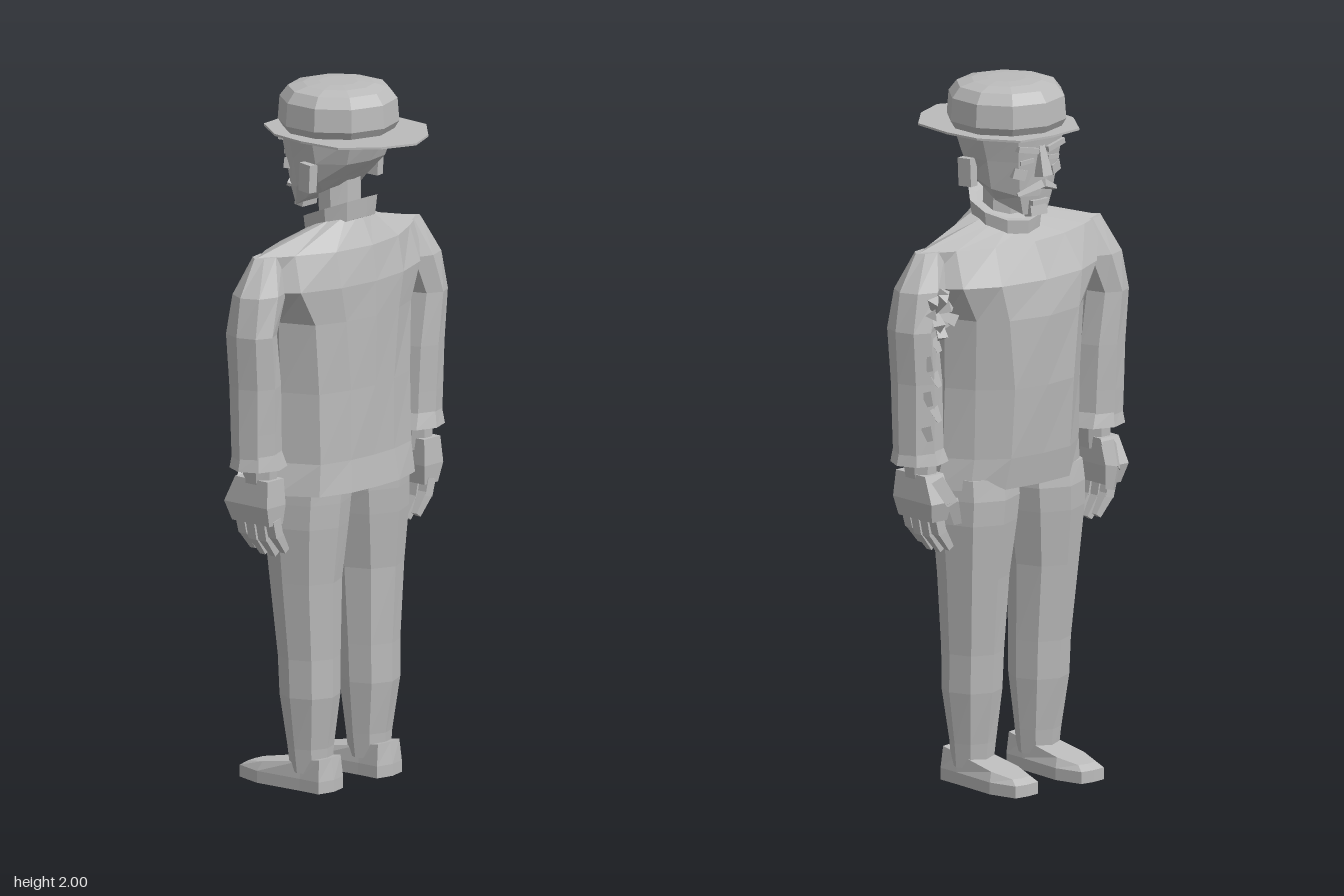
import * as THREE from 'three';

const cloth = new THREE.MeshStandardMaterial({ color: 0xbbbbbb, flatShading: true });
cloth.name = 'plain grey';

// Elliptical ring, listed anticlockwise as seen from above; slope tilts it along z
function oval(n, y, cx, cz, rx, rz, slope = 0, phase = 0.5) {
  return Array.from({ length: n }, (_, i) => {
    const a = ((i + phase) / n) * Math.PI * 2;
    const z = -Math.sin(a) * rz;
    return [cx + Math.cos(a) * rx, y + slope * z, cz + z];
  });
}

// Symmetric ring from the points of one half, listed from face side to back
function half(y, pts, dx = 0, slope = 0) {
  const at = (s) => ([x, z]) => [dx + s * x, y + slope * z, z];
  return [...pts.slice(1, -1).map(at(-1)), ...[...pts].reverse().map(at(1))];
}

// Closed skin through rings ordered from bottom to top
function loft(rings) {
  const n = rings[0].length, pos = rings.flat(2), idx = [];
  for (let r = 0; r < rings.length - 1; r++) {
    for (let i = 0; i < n; i++) {
      const j = (i + 1) % n, a = r * n + i, b = r * n + j;
      idx.push(a, b, b + n, a, b + n, a + n);
    }
  }
  [rings[0], rings[rings.length - 1]].forEach((ring, k) => {
    const c = pos.length / 3, base = k * (rings.length - 1) * n;
    for (let d = 0; d < 3; d++) pos.push(ring.reduce((t, p) => t + p[d], 0) / n);
    for (let i = 0; i < n; i++) {
      const a = base + i, b = base + ((i + 1) % n);
      if (k) idx.push(c, a, b); else idx.push(c, b, a);
    }
  });
  const g = new THREE.BufferGeometry();
  g.setAttribute('position', new THREE.Float32BufferAttribute(pos, 3));
  g.setIndex(idx);
  const flat = g.toNonIndexed();
  flat.computeVertexNormals();
  return flat;
}

export function createModel() {
  const model = new THREE.Group();
  model.name = 'standingMan';

  function add(name, geometry, parent = model) {
    const m = new THREE.Mesh(geometry, cloth);
    m.name = name;
    parent.add(m);
    return m;
  }
  function box(name, size, p, rot = [0, 0, 0], parent = model) {
    const m = add(name, new THREE.BoxGeometry(...size), parent);
    m.position.set(...p);
    m.rotation.set(...rot);
    return m;
  }
  // Tapered four- or more-sided bar between two points
  function bar(name, a, b, r0, r1, parent, sides = 4) {
    const A = new THREE.Vector3(...a), B = new THREE.Vector3(...b), d = B.clone().sub(A);
    const g = new THREE.CylinderGeometry(r1, r0, d.length(), sides);
    g.rotateY(Math.PI / 4);
    const m = add(name, g, parent);
    m.position.copy(A).add(B).multiplyScalar(0.5);
    m.quaternion.setFromUnitVectors(new THREE.Vector3(0, 1, 0), d.normalize());
    return m;
  }

  // Jacket body with sloping shoulders
  add('jacket', loft([
    half(0.86, [[0, -0.17], [0.12, -0.16], [0.205, -0.11], [0.265, -0.03], [0.2, 0.075], [0.1, 0.105], [0, 0.11]]),
    half(0.95, [[0, -0.185], [0.11, -0.175], [0.195, -0.115], [0.245, -0.04], [0.19, 0.07], [0.09, 0.095], [0, 0.1]]),
    half(1.15, [[0, -0.205], [0.11, -0.19], [0.195, -0.12], [0.238, -0.04], [0.19, 0.065], [0.09, 0.095], [0, 0.105]]),
    half(1.35, [[0, -0.215], [0.13, -0.19], [0.2, -0.13], [0.24, -0.04], [0.2, 0.06], [0.11, 0.095], [0, 0.11]]),
    half(1.45, [[0, -0.2], [0.15, -0.18], [0.25, -0.13], [0.33, -0.04], [0.25, 0.05], [0.13, 0.095], [0, 0.11]]),
    half(1.55, [[0, -0.15], [0.13, -0.13], [0.24, -0.09], [0.34, -0.04], [0.24, 0.02], [0.13, 0.075], [0, 0.095]]),
    half(1.62, [[0, -0.1], [0.05, -0.09], [0.085, -0.06], [0.1, -0.03], [0.085, 0.01], [0.05, 0.04], [0, 0.05]], 0, 0.4),
  ]));

  // Tilted collar and neck
  add('collar', loft([
    oval(10, 1.59, 0, -0.025, 0.1, 0.095, 0.4),
    oval(10, 1.645, 0, -0.025, 0.108, 0.1, 0.4),
    oval(10, 1.64, 0, -0.025, 0.085, 0.08, 0.4),
  ]));
  add('neck', loft([oval(8, 1.6, 0, -0.025, 0.07, 0.055), oval(8, 1.76, 0, -0.03, 0.07, 0.06)]));

  // Head, jaw rising toward the back
  const head = new THREE.Group();
  head.name = 'head';
  model.add(head);
  add('skull', loft([
    half(1.71, [[0, -0.16], [0.045, -0.15], [0.085, -0.08], [0.08, -0.02], [0.045, 0.01], [0, 0.015]], 0, 0.5),
    half(1.735, [[0, -0.168], [0.06, -0.155], [0.11, -0.09], [0.11, -0.01], [0.06, 0.035], [0, 0.045]], 0, 0.3),
    half(1.79, [[0, -0.175], [0.075, -0.165], [0.125, -0.09], [0.133, 0], [0.08, 0.07], [0, 0.085]]),
    half(1.865, [[0, -0.185], [0.085, -0.175], [0.145, -0.09], [0.15, 0], [0.09, 0.095], [0, 0.115]]),
  ]), head);
  bar('nose', [0, 1.83, -0.17], [0, 1.745, -0.187], 0.014, 0.026, head);
  box('lowerLip', [0.06, 0.014, 0.02], [0, 1.668, -0.165], [0, 0, 0], head);
  box('chin', [0.06, 0.035, 0.03], [0, 1.645, -0.152], [0.15, 0, 0], head);
  for (const s of [-1, 1]) {
    box('brow', [0.07, 0.016, 0.025], [s * 0.05, 1.825, -0.172], [0, s * -0.12, s * 0.2], head);
    box('eyelid', [0.045, 0.012, 0.016], [s * 0.048, 1.79, -0.167], [0, s * -0.15, s * -0.1], head);
    box('cheek', [0.04, 0.03, 0.02], [s * 0.065, 1.755, -0.155], [0, s * -0.3, s * 0.3], head);
    bar('moustache', [0, 1.722, -0.18], [s * 0.07, 1.695, -0.155], 0.016, 0.008, head);
    box('ear', [0.028, 0.08, 0.045], [s * 0.138, 1.75, -0.023], [0.05, s * 0.15, 0], head);
  }

  // Hat: faceted crown and a flat brim, longest over the nape
  const hat = new THREE.Group();
  hat.name = 'hat';
  model.add(hat);
  add('crown', loft([[1.866, 0.155], [1.89, 0.17], [1.955, 0.165], [1.985, 0.142], [1.996, 0.1], [2, 0.055]]
    .map(([y, r]) => oval(10, y, 0, -0.032, r, r, 0, 0.5))), hat);
  const brimLine = [[0, -0.225], [0.11, -0.212], [0.18, -0.11], [0.195, 0], [0.185, 0.13], [0.098, 0.215], [0, 0.257]];
  add('brim', loft([half(1.862, brimLine), half(1.868, brimLine)]), hat);

  for (const s of [-1, 1]) {
    // Sleeve with flared cuff
    const arm = new THREE.Group();
    arm.name = s > 0 ? 'leftArm' : 'rightArm';
    model.add(arm);
    add('sleeve', loft([
      [0.965, 0.335, 0.072, 0.068], [1.06, 0.338, 0.072, 0.07], [1.19, 0.342, 0.07, 0.074],
      [1.34, 0.358, 0.063, 0.078], [1.45, 0.325, 0.08, 0.07], [1.552, 0.29, 0.055, 0.03],
    ].map(([y, x, rx, rz]) => oval(8, y, s * x, -0.038, rx, rz, 0, 0))), arm);
    add('cuff', loft([oval(8, 0.955, s * 0.33, -0.037, 0.085, 0.077, 0, 0),
      oval(8, 1.0, s * 0.335, -0.037, 0.07, 0.068, 0, 0)]), arm);
    add('wrist', loft([oval(8, 0.89, s * 0.325, -0.035, 0.04, 0.05),
      oval(8, 0.97, s * 0.325, -0.035, 0.045, 0.055)]), arm);

    // Hand with curled fingers
    add('palm', loft([
      oval(4, 0.795, s * 0.325, -0.045, 0.04, 0.098), oval(4, 0.85, s * 0.33, -0.05, 0.055, 0.113),
      oval(4, 0.925, s * 0.328, -0.035, 0.048, 0.085),
    ]), arm);
    for (let i = 0; i < 4; i++) {
      const z = 0.012 - i * 0.037, drop = [0.015, 0, 0, 0.012][i];
      bar('finger', [s * 0.325, 0.81, z], [s * 0.312, 0.745 + drop, z], 0.022, 0.021, arm);
      bar('fingertip', [s * 0.313, 0.752 + drop, z], [s * 0.275, 0.697 + drop, z], 0.021, 0.014, arm);
    }
    bar('thumb', [s * 0.32, 0.91, -0.1], [s * 0.3, 0.845, -0.142], 0.026, 0.024, arm);
    bar('thumbTip', [s * 0.3, 0.855, -0.14], [s * 0.285, 0.79, -0.145], 0.024, 0.016, arm);

    // Trouser leg
    const leg = new THREE.Group();
    leg.name = s > 0 ? 'leftLeg' : 'rightLeg';
    model.add(leg);
    add('trouserLeg', loft([
      [0.05, 0.122, -0.025, 0.06, 0.057], [0.12, 0.122, -0.027, 0.068, 0.062], [0.27, 0.125, -0.027, 0.085, 0.085],
      [0.38, 0.125, -0.03, 0.087, 0.088], [0.6, 0.13, -0.038, 0.099, 0.103], [0.76, 0.126, -0.04, 0.117, 0.12],
      [0.83, 0.122, -0.04, 0.121, 0.124], [0.89, 0.12, -0.035, 0.12, 0.12],
    ].map(([y, x, z, rx, rz]) => oval(8, y, s * x, z, rx, rz, 0, 0))), leg);

    // Shoe, sloping down to the toe
    const sole = [[0, -0.258], [0.042, -0.253], [0.064, -0.17], [0.054, -0.02], [0.052, 0.048], [0, 0.06]];
    const upper = [[0, -0.235], [0.033, -0.23], [0.05, -0.16], [0.046, -0.02], [0.045, 0.045], [0, 0.052]];
    add('shoe', loft([half(0, sole, s * 0.123), half(0.034, sole, s * 0.123),
      half(0.088, upper, s * 0.123, 0.17)]), leg);
  }

  // Crumpled rosette and torn folds on the left sleeve
  const rosette = new THREE.Group();
  rosette.name = 'sleeveRosette';
  model.add(rosette);
  for (let i = 0; i < 9; i++) {
    const a = (i / 9) * Math.PI * 2, r = i % 2 ? 0.07 : 0.052;
    bar('fold', [0.335, 1.395, -0.105],
      [0.335 + Math.cos(a) * r * 0.6, 1.395 + Math.sin(a) * r, -0.13 - (i % 3) * 0.012], 0.01, 0.02, rosette, 3);
  }
  for (let i = 0; i < 6; i++) {
    bar('sleeveFold', [0.34 + (i % 2) * 0.02, 1.32 - i * 0.05, -0.1],
      [0.325 + (i % 2) * 0.03, 1.28 - i * 0.05, -0.112], 0.018, 0.01, rosette, 3);
  }
  return model;
}
